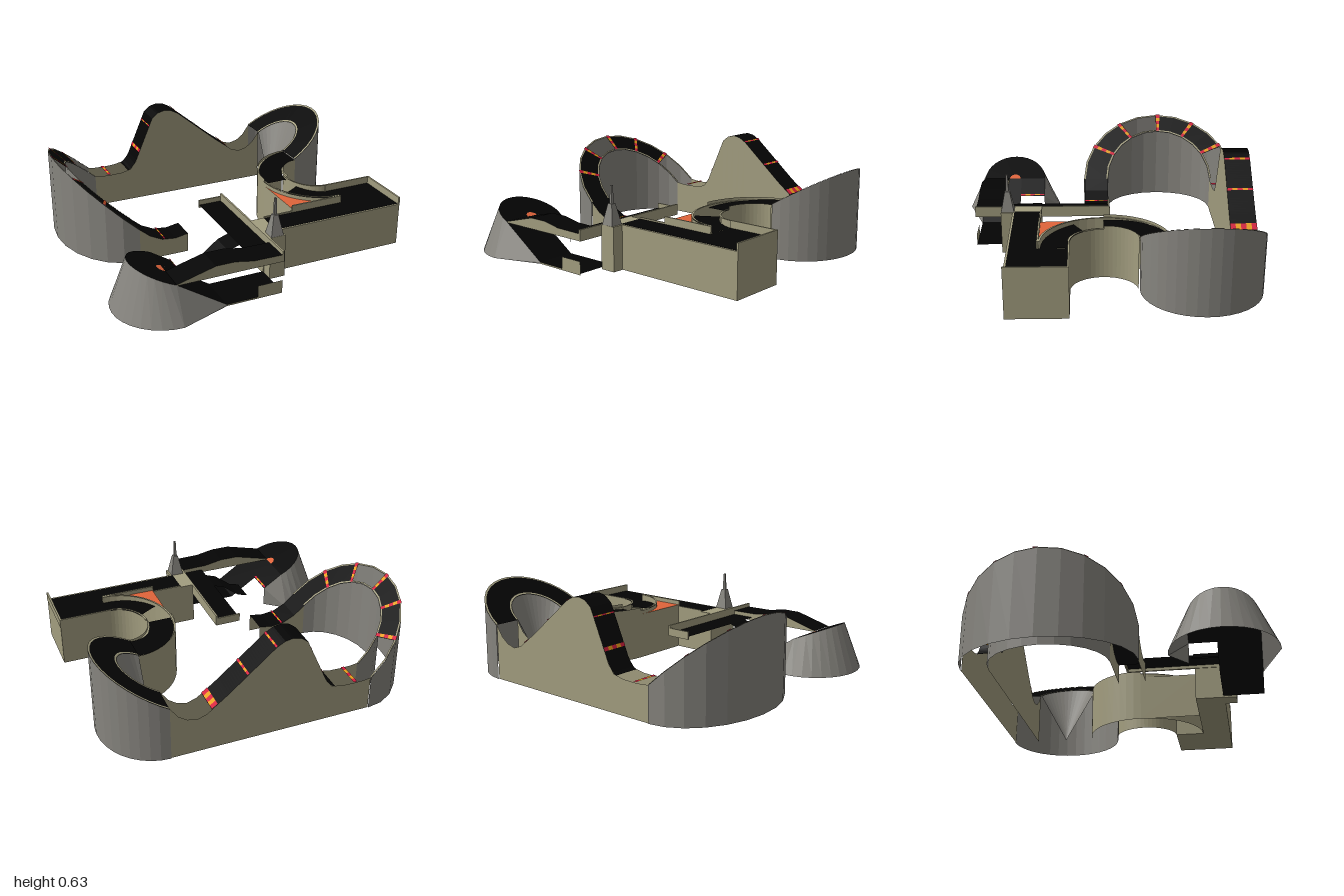
import * as THREE from 'three';

const mat = (name, color) => new THREE.MeshStandardMaterial({ name, color, side: THREE.DoubleSide, flatShading: true });

export function createModel() {
  const group = new THREE.Group();
  const khaki = mat('khaki wall', 0xa29d7f);
  const gray = mat('gray concrete', 0x86847e);
  const black = mat('black road', 0x040404);
  const orange = mat('orange infill', 0xe0643a);
  const red = mat('red stripe', 0xd41c3c);
  const yellow = mat('yellow stripe', 0xf0a41c);

  const add = (name, geo, m) => {
    const mesh = new THREE.Mesh(geo, m);
    mesh.name = name;
    group.add(mesh);
    return mesh;
  };
  // Faceted strip between two curves a(t), b(t) returning [x, y, z]
  const strip = (name, m, a, b, t0 = 0, t1 = 1, n = 1) => {
    const p = [];
    for (let i = 0; i < n; i++) {
      const s = t0 + (t1 - t0) * i / n, e = t0 + (t1 - t0) * (i + 1) / n;
      p.push(...a(s), ...b(s), ...b(e), ...a(s), ...b(e), ...a(e));
    }
    const g = new THREE.BufferGeometry();
    g.setAttribute('position', new THREE.Float32BufferAttribute(p, 3));
    g.computeVertexNormals();
    return add(name, g, m);
  };
  const line = (p, q) => t => p.map((v, i) => v + (q[i] - v) * t);
  const quad = (name, m, a, b, c, d) => strip(name, m, line(a, b), line(d, c));
  const ground = f => t => { const [x, , z] = f(t); return [x, 0, z]; };
  const raise = (f, h) => t => { const [x, y, z] = f(t); return [x, y + h, z]; };
  const between = (a, b, k) => t => { const p = a(t), q = b(t); return p.map((v, i) => v + (q[i] - v) * k); };
  const box = (name, m, x0, x1, y0, y1, z0, z1) => {
    const mesh = add(name, new THREE.BoxGeometry(x1 - x0, y1 - y0, z1 - z0), m);
    mesh.position.set((x0 + x1) / 2, (y0 + y1) / 2, (z0 + z1) / 2);
  };
  // Half ellipse from -z to +z, bulging to the given side, in a plane tilted by slope
  const arc = (cx, cz, rx, rz, side, y0, slope) => t => {
    const dx = rx * Math.sin(t * Math.PI);
    return [cx + side * dx, y0 + slope * dx, cz - rz * Math.cos(t * Math.PI)];
  };
  // Height along a list of [x, y] points sorted by x in either direction
  const heightAt = (pts, x) => {
    const d = Math.sign(pts[1][0] - pts[0][0]);
    const i = Math.max(1, pts.findIndex(p => (p[0] - x) * d >= 0));
    const [[x0, y0], [x1, y1]] = [pts[i - 1], pts[i]];
    return y0 + (y1 - y0) * (x - x0) / (x1 - x0);
  };
  const along = (pts, z) => x => [x, heightAt(pts, x), z];
  // Two-colour stripe across a road
  const stripe = (a, b, t, w) => {
    for (let i = 0; i < 5; i++)
      strip('roadStripe', i % 2 ? yellow : red, raise(between(a, b, i / 5), 0.006), raise(between(a, b, (i + 1) / 5), 0.006), t - w / 2, t + w / 2);
  };
  const banked = (name, outer, inner, wallMat, n) => {
    strip(name + 'OuterWall', wallMat, outer, ground(outer), 0, 1, n);
    strip(name + 'OuterRim', khaki, raise(outer, 0.003), raise(between(outer, inner, 0.07), 0.003), 0, 1, n);
    strip(name + 'InnerRim', khaki, raise(inner, 0.003), raise(between(inner, outer, 0.07), 0.003), 0, 1, n);
  };

  // Left-hand steep banked curve, with gaps in its road
  const lo = arc(-0.61, -0.41, 0.388, 0.535, -1, 0.22, 0.91);
  const li = arc(-0.61, -0.41, 0.288, 0.365, -1, 0.22, 0.91);
  banked('steepCurve', lo, li, gray, 12);
  strip('steepCurveRoad', black, lo, li, 2 / 12, 6 / 12, 4);
  strip('steepCurveRoad', black, lo, li, 8 / 12, 1, 4);
  strip('steepCurveInnerWall', gray, li, ground(li), 0, 1, 12);
  for (const [t, w] of [[0.174, 0.016], [0.335, 0.016], [0.493, 0.018], [0.674, 0.016], [0.832, 0.016]]) stripe(lo, li, t, w);

  // Exit dip after the steep curve
  const dip = [[-0.61, 0.22], [-0.54, 0.16], [-0.46, 0.12], [-0.37, 0.11], [-0.285, 0.125]];
  const da = along(dip, -0.045), db = along(dip, 0.12);
  for (let i = 1; i < dip.length; i++) {
    const [s, e] = [dip[i - 1][0], dip[i][0]];
    strip('exitRoad', black, da, db, s, e);
    for (const f of [da, db]) strip('exitSide', khaki, f, ground(f), s, e);
  }
  stripe(da, db, -0.445, 0.011);

  // Jump hill along the back: two side sheets and a road over the crest
  const hill = [[0.66, 0.35], [0.61, 0.28], [0.56, 0.245], [0.5, 0.23], [0.44, 0.25], [0.31, 0.35], [0.02, 0.595], [-0.03, 0.623],
    [-0.08, 0.632], [-0.13, 0.62], [-0.175, 0.585], [-0.31, 0.28], [-0.35, 0.23], [-0.42, 0.215], [-0.5, 0.212], [-0.56, 0.214], [-0.61, 0.22]];
  const hb = along(hill, -0.94), hf = along(hill, -0.775);
  for (let i = 1; i < hill.length; i++) {
    const [s, e] = [hill[i - 1][0], hill[i][0]];
    for (const f of [hb, hf]) strip('hillSide', khaki, f, ground(f), s, e);
  }
  strip('hillRoad', black, hb, hf, 0.41, -0.37, 60);
  for (const [x, w] of [[-0.508, 0.022], [-0.278, 0.009], [-0.2, 0.003], [0.02, 0.011], [0.19, 0.011], [0.393, 0.034]]) stripe(hb, hf, x, w);

  // Rear bowl curve with an inner cone running down to the ground
  const bo = arc(0.66, -0.575, 0.337, 0.37, 1, 0.35, 0.6);
  const bi = arc(0.66, -0.575, 0.18, 0.193, 1, 0.35, 0.6);
  banked('bowlCurve', bo, bi, gray, 18);
  strip('bowlRoad', black, bo, bi, 0, 1, 18);
  strip('bowlCone', gray, bi, () => [0.66, 0, -0.575], 0, 1, 18);

  // S curve sinking from the bowl down to the start straight
  const so = arc(0.66, 0.007, 0.345, 0.392, -1, 0.325, 0);
  const si = arc(0.66, 0.007, 0.172, 0.205, -1, 0.325, 0);
  const sink = f => t => { const [x, , z] = f(t); return [x, 0.342 - 0.06 * t, z]; };
  banked('sinkingCurve', so, si, khaki, 24);
  strip('sinkingCurveRoad', black, sink(between(so, si, 0.06)), sink(between(si, so, 0.06)), 0, 0.5, 12);
  strip('sinkingCurveRoad', black, sink(between(so, si, 0.06)), sink(between(si, so, 0.06)), 0.66, 1, 8);
  strip('sinkingCurveInnerWall', khaki, si, ground(si), 0, 1, 24);
  for (const f of [so, si]) strip('sinkingCurveKerb', khaki, raise(f, 0.022), f, 0, 0.5, 12);

  // Orange corner infill with its retaining walls
  const corner = t => t <= 0.75
    ? [0.315, 0.3, 0.007 + 0.393 * (t - 0.5) * 4]
    : [0.315 + 0.345 * (t - 0.75) * 4, 0.3, 0.4];
  strip('cornerInfill', orange, raise(so, -0.025), corner, 0.5, 1, 24);
  quad('cornerWall', khaki, [0.315, 0, 0.007], [0.315, 0, 0.4], [0.315, 0.3, 0.4], [0.315, 0.3, 0.007]);

  // Start straight: solid base, low road, walls
  box('startBase', khaki, 0.02, 0.995, 0, 0.28, 0.4, 0.585);
  box('startBaseBack', khaki, 0.66, 0.995, 0, 0.28, 0.212, 0.4);
  box('startRoad', black, 0.11, 0.985, 0.279, 0.2815, 0.41, 0.573);
  box('startRoadBack', black, 0.66, 0.985, 0.279, 0.2815, 0.222, 0.41);
  box('endWall', khaki, 0.985, 0.997, 0.27, 0.328, 0.212, 0.585);
  box('backWall', khaki, 0.66, 0.99, 0.27, 0.328, 0.212, 0.222);
  box('straightWall', khaki, 0.31, 0.665, 0.27, 0.328, 0.398, 0.408);
  box('straightKerb', khaki, 0.11, 0.31, 0.27, 0.29, 0.398, 0.408);

  // Tower on a pedestal
  box('towerPedestal', khaki, 0.025, 0.128, 0, 0.28, 0.58, 0.66);
  const frustum = (name, rt, rb, y0, y1) => {
    const g = new THREE.CylinderGeometry(rt * Math.SQRT2, rb * Math.SQRT2, y1 - y0, 4).rotateY(Math.PI / 4);
    add(name, g, gray).position.set(0.074, (y0 + y1) / 2, 0.617);
  };
  frustum('towerBase', 0.016, 0.042, 0.278, 0.41);
  frustum('towerSpire', 0.006, 0.009, 0.41, 0.52);

  // Elevated deck with guard walls and a branch dropping towards the mound
  const flat = (name, x0, x1, z0, z1, y) => quad(name, black, [x0, y, z0], [x1, y, z0], [x1, y, z1], [x0, y, z1]);
  flat('deckRoad', -0.14, 0.02, -0.04, 0.66, 0.23);
  const branch = [[-0.14, 0.23], [-0.21, 0.205], [-0.32, 0.12], [-0.39, 0.1]];
  for (let i = 1; i < branch.length; i++)
    strip('deckBranch', black, along(branch, 0.41), along(branch, 0.575), branch[i - 1][0], branch[i][0]);
  box('deckWall', khaki, 0.015, 0.027, 0.21, 0.28, -0.04, 0.835);
  box('deckEndWall', khaki, -0.14, 0.02, 0.21, 0.262, -0.042, -0.032);

  // Raised bridge road from the deck over to the turning mound
  const bridge = [[0.02, 0.255], [-0.17, 0.258], [-0.29, 0.28], [-0.41, 0.28], [-0.65, 0.217]];
  const ba = along(bridge, 0.66), bf = along(bridge, 0.833);
  for (let i = 1; i < bridge.length; i++) {
    const [s, e] = [bridge[i - 1][0], bridge[i][0]];
    strip('bridgeRoad', black, ba, bf, s, e);
    for (const f of [ba, bf]) strip('bridgeSide', khaki, f, x => [x, 0.21, f(x)[2]], s, e);
  }

  // Turning mound: half cone with a tilted road on top
  const mt = arc(-0.65, 0.62, 0.213, 0.213, -1, 0.215, 0.42);
  const mb = arc(-0.65, 0.62, 0.322, 0.322, -1, 0, 0);
  strip('moundSide', gray, mt, mb, 0, 1, 16);
  const centre = arc(-0.65, 0.62, 0.038, 0.038, -1, 0.215, 0.42);
  strip('moundRoad', black, mt, centre, 0, 1, 16);
  strip('moundCentre', orange, centre, () => [-0.65, 0.215, 0.62], 0, 1, 16);
  const entry = [[-0.65, 0.215], [-0.52, 0.13]];
  const ea = along(entry, 0.407), eb = along(entry, 0.575);
  strip('moundEntryRoad', black, ea, eb, -0.65, -0.52);
  stripe(ea, eb, -0.5255, 0.01);
  quad('moundEntrySide', gray, [-0.65, 0, 0.298], [-0.52, 0, 0.407], [-0.52, 0.13, 0.407], [-0.65, 0.215, 0.407]);

  // Descent to the ground and the lower road under the deck
  quad('descentRoad', black, [-0.65, 0.215, 0.575], [-0.34, 0.01, 0.575], [-0.34, 0.01, 0.833], [-0.65, 0.215, 0.833]);
  quad('descentSide', gray, [-0.65, 0, 0.942], [-0.34, 0, 0.833], [-0.34, 0.01, 0.833], [-0.65, 0.215, 0.833]);
  flat('lowerRoad', -0.34, 0.02, 0.575, 0.833, 0.01);
  quad('lowerRoadEdge', khaki, [-0.34, 0, 0.833], [0.02, 0, 0.833], [0.02, 0.01, 0.833], [-0.34, 0.01, 0.833]);
  quad('lowerRoadWall', khaki, [-0.14, 0.01, 0.833], [0.02, 0.01, 0.833], [0.02, 0.085, 0.833], [-0.14, 0.085, 0.833]);

  return group;
}
